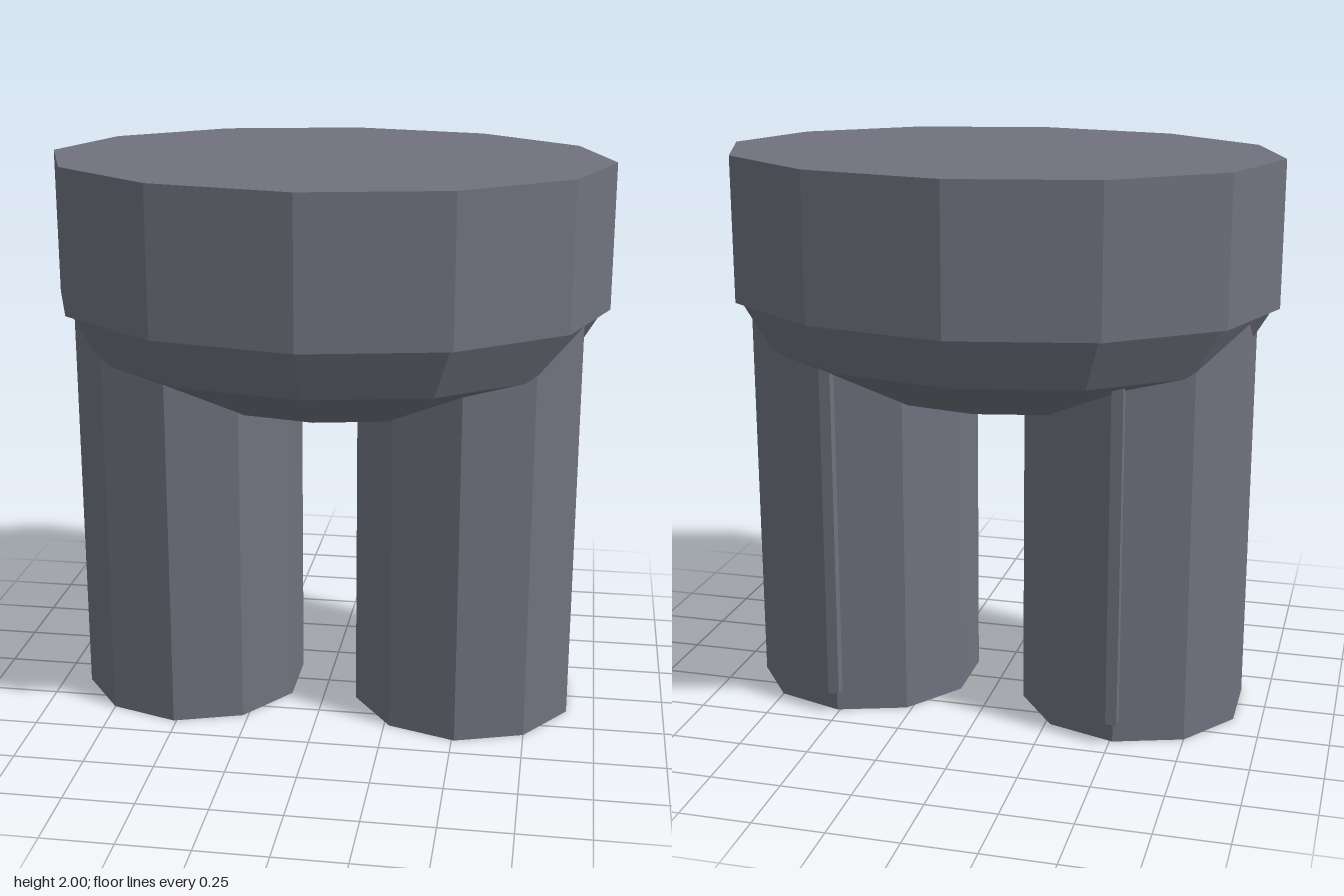
import * as THREE from 'three';

export function createModel() {
  const model = new THREE.Group();
  model.name = 'lowerBody';
  const grey = new THREE.MeshStandardMaterial({ color: 0x70727e });
  grey.name = 'slate grey';

  // Flat-faceted mesh, added to a parent
  const add = (parent, name, geometry, x, y, z) => {
    const flat = geometry.index ? geometry.toNonIndexed() : geometry;
    flat.computeVertexNormals();
    const mesh = new THREE.Mesh(flat, grey);
    mesh.name = name;
    mesh.position.set(x, y, z);
    parent.add(mesh);
    return mesh;
  };

  // Waist: oval twelve-sided drum
  const waist = new THREE.CylinderGeometry(1, 1, 0.51, 12).scale(0.987, 1, 0.75);
  add(model, 'waist', waist, 0, 1.745, 0);

  // Hips: flattened faceted ball, upper half buried in the waist
  const hips = new THREE.SphereGeometry(1, 12, 6).scale(0.987, 0.44, 0.75);
  add(model, 'hips', hips, 0, 1.53, 0);

  // Legs: ten-sided columns, each with a thin seam down the back
  for (const [side, s] of [['left', 1], ['right', -1]]) {
    const leg = new THREE.Group();
    leg.name = side + 'Leg';
    leg.position.x = s * 0.51;
    add(leg, side + 'LegColumn', new THREE.CylinderGeometry(0.41, 0.41, 1.56, 10), 0, 0.78, 0);
    add(leg, side + 'LegBackSeam', new THREE.BoxGeometry(0.04, 1.27, 0.04), 0, 0.715, -0.425);
    model.add(leg);
  }
  return model;
}
